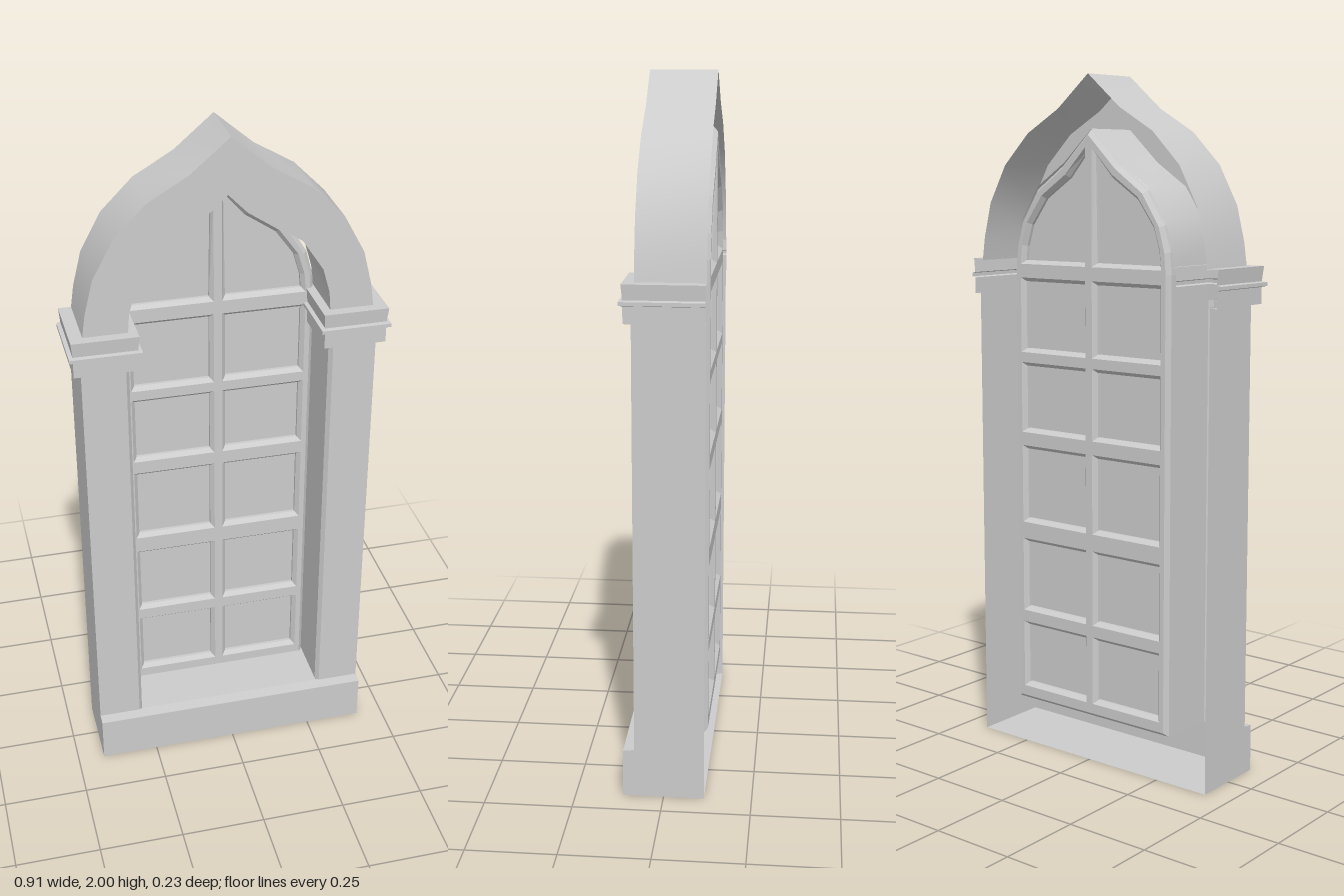
import * as THREE from 'three';
import { toCreasedNormals } from 'three/addons/utils/BufferGeometryUtils.js';

const BACK = -0.115, FACE = 0.08;

// Right halves of the ogee arch curves, springing line to apex
const OUTER = [[0.41, 1.47], [0.4, 1.54], [0.375, 1.64], [0.315, 1.75], [0.225, 1.84], [0.11, 1.907], [0, 2]];
const INNER = [[0.285, 1.47], [0.28, 1.53], [0.26, 1.6], [0.2, 1.69], [0.1, 1.757], [0, 1.85]];

// Full curve from right springing over the apex to the left
const mirrored = half => [...half, ...half.slice(0, -1).reverse().map(([x, y]) => [-x, y])];
const toShape = pts => new THREE.Shape(pts.map(([x, y]) => new THREE.Vector2(x, y)));

export function createModel() {
  const model = new THREE.Group();
  const solid = new THREE.MeshStandardMaterial({ color: 0xcccccc });
  const thin = new THREE.MeshStandardMaterial({ color: 0xcccccc, side: THREE.DoubleSide });

  function add(name, geometry, material = thin) {
    const mesh = new THREE.Mesh(geometry, material);
    mesh.name = name;
    model.add(mesh);
    return mesh;
  }

  // Surface skinned between successive rows of points
  function skin(rows) {
    const index = [], n = rows[0].length;
    for (let r = 0; r < rows.length - 1; r++) {
      for (let i = 0; i < n - 1; i++) {
        const a = r * n + i, b = a + n;
        index.push(a, a + 1, b, a + 1, b + 1, b);
      }
    }
    const geo = new THREE.BufferGeometry();
    geo.setAttribute('position', new THREE.Float32BufferAttribute(rows.flat(2), 3));
    geo.setIndex(index);
    return toCreasedNormals(geo, 0.55);
  }

  // Hollow arch: front face, outer ribbon and inner reveal
  const outer = mirrored(OUTER), inner = mirrored(INNER);
  const face = new THREE.ShapeGeometry(toShape([...outer, ...[...inner].reverse()]));
  add('archFace', face).position.z = 0.075;
  const ribbon = (pts, z0, z1) => skin([z0, z1].map(z => pts.map(([x, y]) => [x, y, z])));
  add('archOuterSurface', ribbon(outer, BACK, 0.075));
  add('archReveal', ribbon(inner, -0.1, 0.075));

  // Hollow piers and moulded capitals, open at the back
  const capitalProfile = [[1.37, 0], [1.37, 0.022], [1.417, 0.022], [1.42, 0.033], [1.43, 0.033],
    [1.433, 0.022], [1.475, 0.026], [1.475, -0.012]];
  for (const [s, side] of [[1, 'left'], [-1, 'right']]) {
    const pier = [[0.42, BACK], [0.42, FACE + 0.003], [0.295, FACE + 0.003], [0.285, FACE - 0.01], [0.285, -0.1]];
    add(side + 'Pier', skin([0.13, 1.375].map(y => pier.map(([x, z]) => [s * x, y, z]))));
    add(side + 'Capital', skin(capitalProfile.map(([y, o]) => [
      [s * (0.42 + o), y, BACK], [s * (0.42 + o), y, FACE + o],
      [s * (0.285 - o), y, FACE + o], [s * (0.285 - o), y, -0.1],
    ])));
    // Side of the base, following the sill nosing
    add(side + 'BaseSide', new THREE.ShapeGeometry(toShape([
      [BACK, 0], [0.115, 0], [0.115, 0.138], [0.083, 0.142], [BACK, 0.142],
    ])).rotateY(-Math.PI / 2)).position.x = s * 0.42;
  }

  // Sill: underside, front and nosing, then the ledge between the piers
  const across = (w, profile) => skin(profile.map(([y, z]) => [[-w, y, z], [w, y, z]]));
  add('sillFront', across(0.42, [[0, BACK], [0, 0.115], [0.138, 0.115], [0.142, 0.08]]));
  add('sillLedge', across(0.285, [[0.142, 0.08], [0.142, -0.1]]));

  // Window frame pierced by six rows of chamfered panes
  const sash = toShape([[-0.272, 0.145], [0.272, 0.145],
    ...mirrored(INNER.map(([x, y]) => [x * 0.955, y - 0.018]))]);
  const rows = [[0.175, 0.38], [0.415, 0.64], [0.69, 0.925], [0.965, 1.175], [1.205, 1.425]];
  const panes = rows.map(([y0, y1]) => [[0.012, y0], [0.257, y0], [0.257, y1], [0.012, y1]]);
  panes.push([[0.012, 1.465], [0.257, 1.465], [0.252, 1.52], [0.232, 1.585], [0.175, 1.663],
    [0.085, 1.723], [0.012, 1.798]]);
  for (const pane of panes) {
    for (const s of [1, -1]) {
      sash.holes.push(new THREE.Path(pane.map(([x, y]) => new THREE.Vector2(s * x, y))));
    }
  }
  const frame = new THREE.ExtrudeGeometry(sash, {
    depth: 0.019, bevelEnabled: true, bevelSegments: 1, bevelThickness: 0.013, bevelSize: 0.011,
  });
  add('windowFrame', frame, solid).position.z = BACK + 0.013;

  // Glazing sheet in the middle of the frame
  const glass = new THREE.ShapeGeometry(toShape([[-0.272, 0.145], [0.272, 0.145],
    ...mirrored(INNER.map(([x, y]) => [x * 0.955, y - 0.018]))]));
  add('glass', glass).position.z = BACK + 0.0225;

  return model;
}
